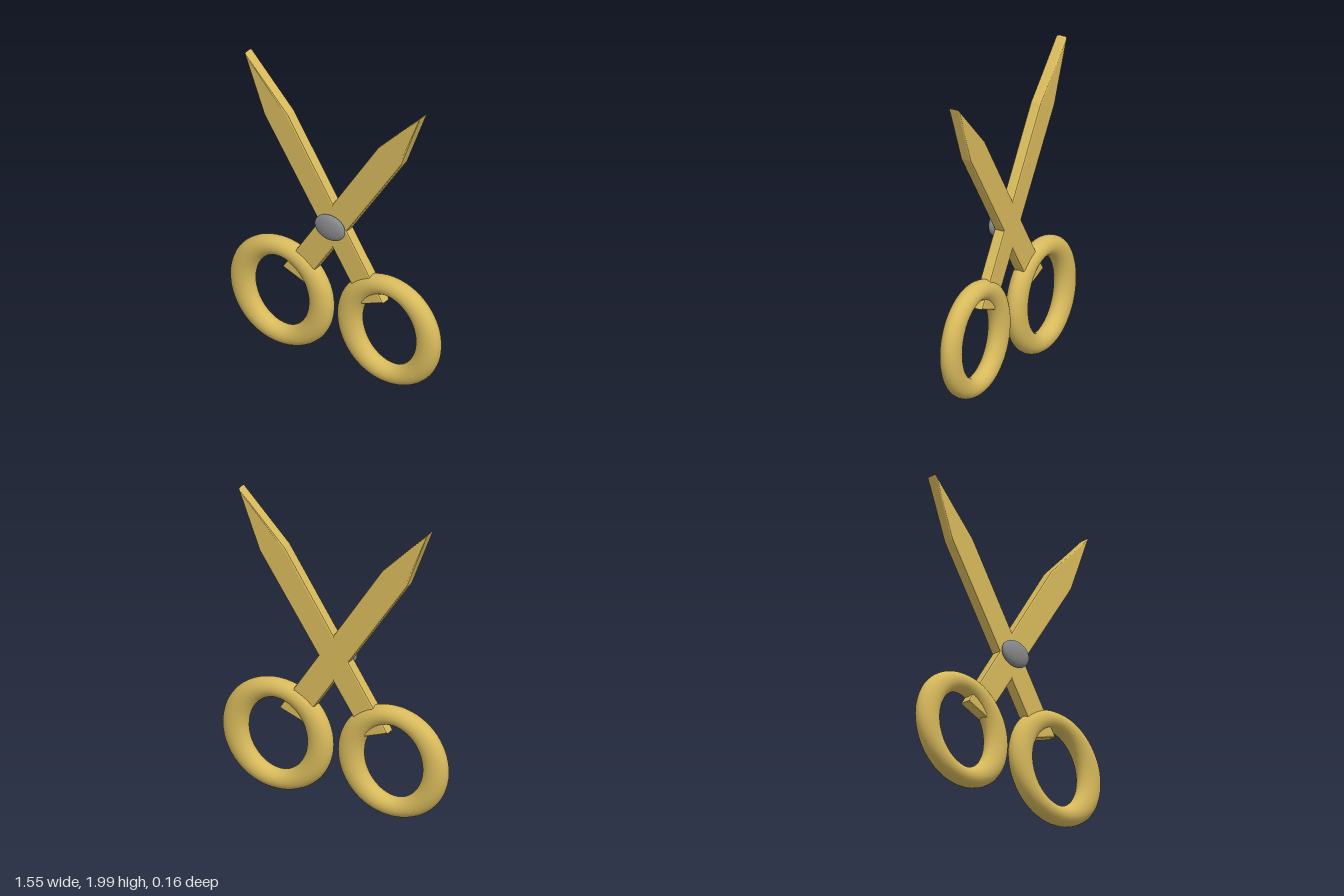
import * as THREE from 'three';

const gold = new THREE.MeshStandardMaterial({ color: 0xd8ba5c });
gold.name = 'gold';
const steel = new THREE.MeshStandardMaterial({ color: 0x88888c });
steel.name = 'steel grey';

// Closed ellipse in the XY plane
class EllipseLoop extends THREE.Curve {
  constructor(rx, ry) {
    super();
    this.rx = rx;
    this.ry = ry;
  }
  getPoint(t, target = new THREE.Vector3()) {
    const a = t * Math.PI * 2;
    return target.set(this.rx * Math.cos(a), this.ry * Math.sin(a), 0);
  }
}

// Bevelled blade with its tip on the given side
function makeBlade(side) {
  const outline = [
    [0.646, 1.982], [0.344, 1.662], [-0.358, 0.576], [-0.218, 0.525], [0.500, 1.613],
  ];
  const shape = new THREE.Shape(outline.map(([x, y]) => new THREE.Vector2(x * side, y)));
  const bevel = 0.012;
  const geometry = new THREE.ExtrudeGeometry(shape, {
    depth: 0.073 - 2 * bevel, bevelThickness: bevel, bevelSize: bevel, bevelSegments: 2,
  });
  geometry.translate(0, 0, -0.054 + bevel);
  return new THREE.Mesh(geometry, gold);
}

// Oval finger ring, wider at its sides than at its top and bottom
function makeRing(side) {
  const stretch = 1.36, tube = 0.0625;
  const loop = new EllipseLoop(0.292 / stretch, 0.3085);
  const geometry = new THREE.TubeGeometry(loop, 80, tube, 24, true);
  geometry.scale(stretch, 1, 1);
  const ring = new THREE.Mesh(geometry, gold);
  ring.position.set(side * 0.398, 0.379, -0.018);
  return ring;
}

export function createModel() {
  const model = new THREE.Group();
  model.name = 'scissors';

  for (const [side, label] of [[1, 'left'], [-1, 'right']]) {
    const blade = makeBlade(side);
    blade.name = `${label}Blade`;
    const ring = makeRing(side);
    ring.name = `${label}FingerRing`;
    model.add(blade, ring);
  }

  // Flattened pivot screw head on the front
  const pivot = new THREE.Mesh(new THREE.SphereGeometry(1, 32, 20), steel);
  pivot.name = 'pivot';
  pivot.scale.set(0.111, 0.086, 0.036);
  pivot.position.set(0, 0.996, 0.046);
  model.add(pivot);

  return model;
}
